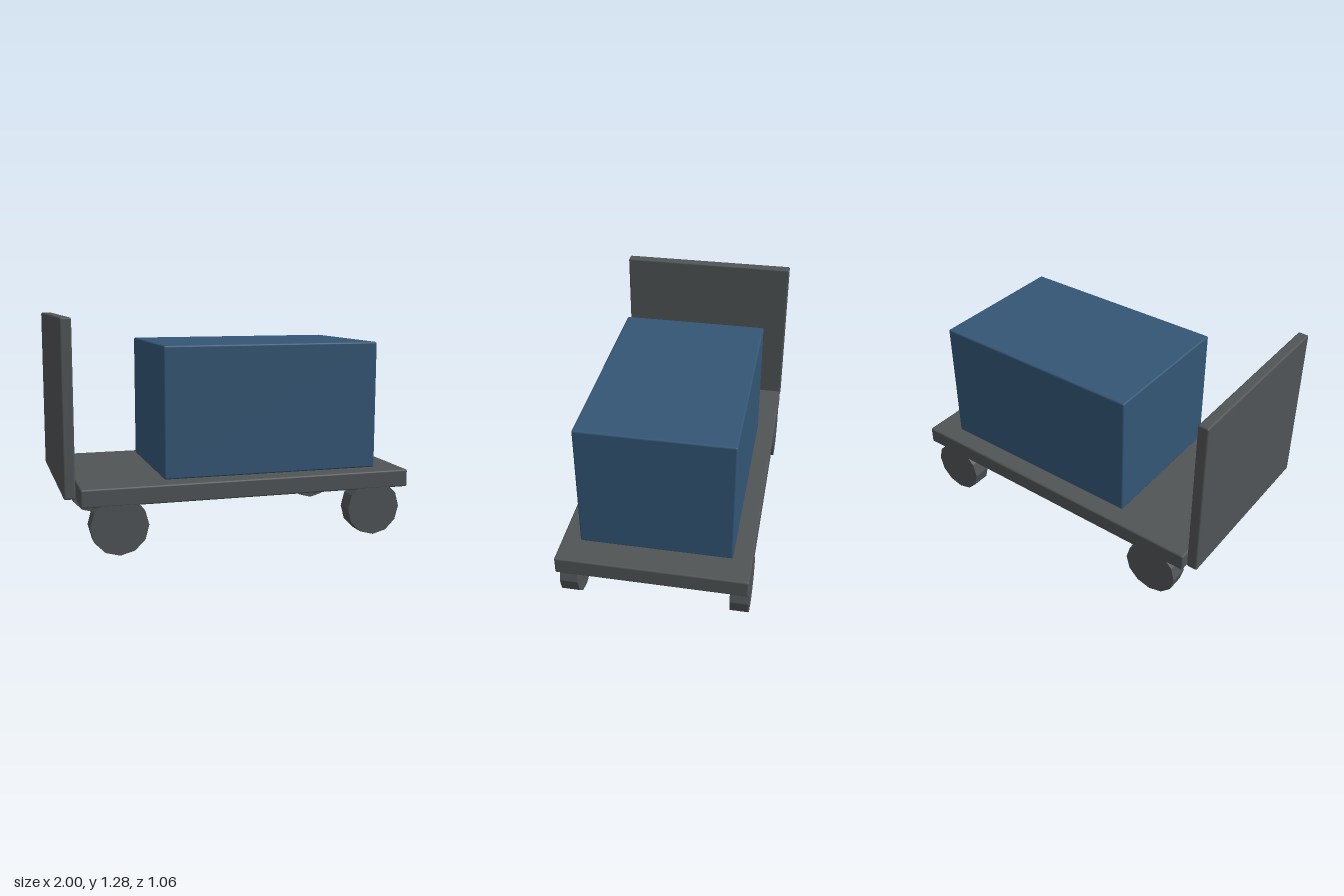
import * as THREE from 'three';
import { RoundedBoxGeometry } from 'three/addons/geometries/RoundedBoxGeometry.js';

export function createModel() {
  const cart = new THREE.Group();
  cart.name = 'platformCart';

  const grey = new THREE.MeshStandardMaterial({ color: 0x505456 });
  grey.name = 'dark grey';
  const blue = new THREE.MeshStandardMaterial({ color: 0x335675 });
  blue.name = 'crate blue';
  const wheelGrey = grey;

  // Softly bevelled box given by its x, y and z limits
  function slab(name, material, [x0, x1], [y0, y1], halfDepth) {
    const geometry = new RoundedBoxGeometry(x1 - x0, y1 - y0, halfDepth * 2, 2, 0.01);
    const mesh = new THREE.Mesh(geometry, material);
    mesh.name = name;
    mesh.position.set((x0 + x1) / 2, (y0 + y1) / 2, 0);
    cart.add(mesh);
  }

  slab('deck', grey, [-0.913, 1], [0.272, 0.374], 0.532);
  slab('endPanel', grey, [-1, -0.938], [0.325, 1.278], 0.532);
  slab('crate', blue, [-0.436, 0.836], [0.377, 1.118], 0.426);

  // Four twelve-sided wheels, their tops set into the deck
  const wheelGeometry = new THREE.CylinderGeometry(0.16, 0.16, 0.104, 12).rotateX(Math.PI / 2).toNonIndexed();
  wheelGeometry.computeVertexNormals();
  for (const [end, x] of [['rear', -0.706], ['front', 0.786]]) {
    for (const [side, z] of [['Left', 0.479], ['Right', -0.479]]) {
      const wheel = new THREE.Mesh(wheelGeometry, wheelGrey);
      wheel.name = end + side + 'Wheel';
      wheel.position.set(x, 0.16, z);
      cart.add(wheel);
    }
  }

  return cart;
}
